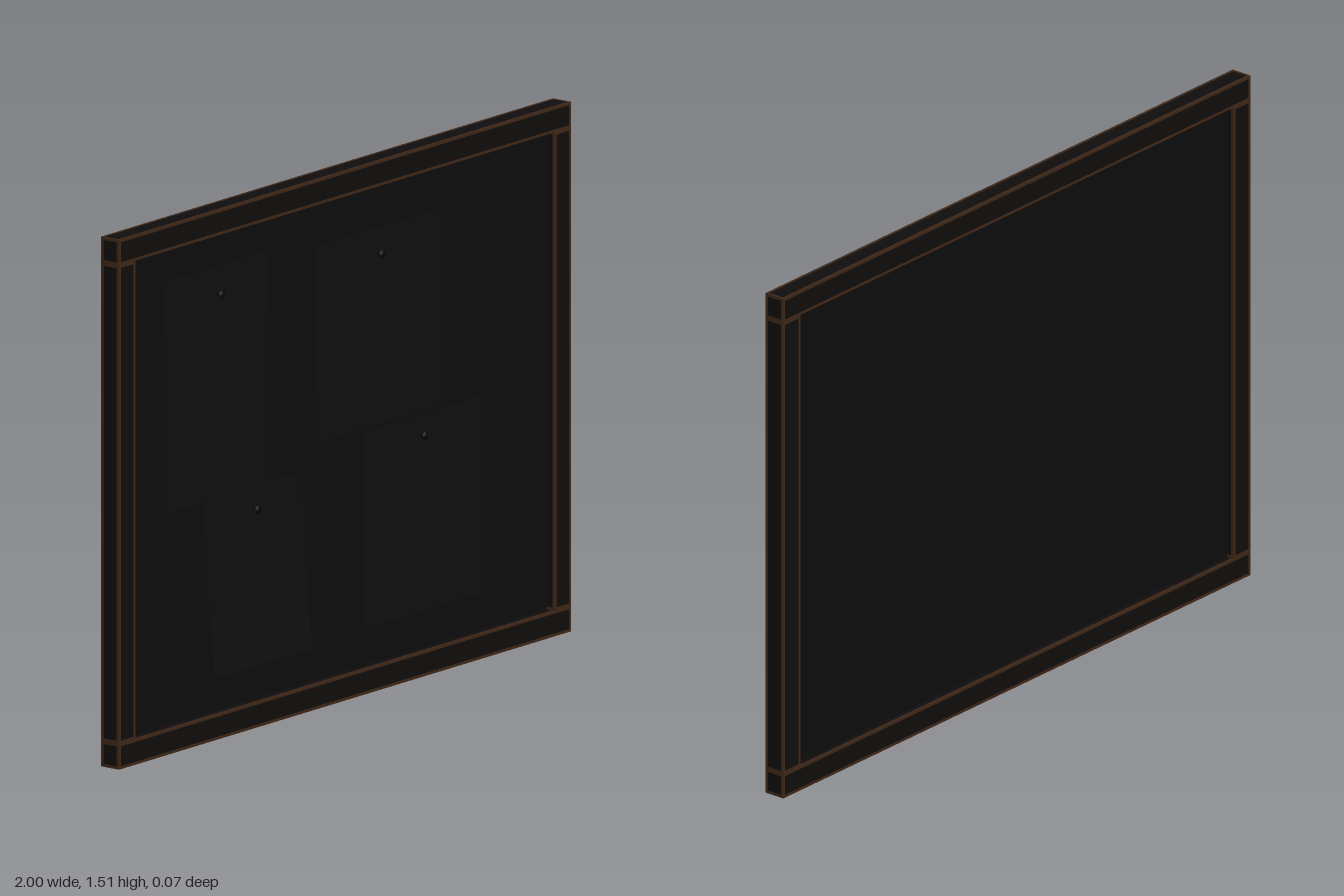
import * as THREE from 'three';

const W = 2, H = 1.51, BAR = 0.073, BACK = -0.036, FRONT = 0.028;
const DEPTH = FRONT - BACK, MID = (FRONT + BACK) / 2;
const BOARD_FRONT = 0;

const paint = (color, extra = {}) => new THREE.MeshStandardMaterial({ color, ...extra });

function box(name, w, h, d, x, y, z, material) {
  const mesh = new THREE.Mesh(new THREE.BoxGeometry(w, h, d), material);
  mesh.name = name;
  mesh.position.set(x, y, z);
  return mesh;
}

// Square frame bar along x, with worn brown strips on its long edges and ends
function frameBar(name, length, darkWood, wornWood) {
  const bar = new THREE.Group();
  bar.name = name;
  const s = 0.008, inset = 0.001;
  bar.add(box('barCore', length - inset, BAR - inset, DEPTH - inset, 0, 0, 0, darkWood));
  for (const a of [-1, 1]) for (const b of [-1, 1]) {
    bar.add(box('wornEdge', length, s, s, 0, a * (BAR - s) / 2, b * (DEPTH - s) / 2, wornWood));
    bar.add(box('wornEnd', s, s, DEPTH, a * (length - s) / 2, b * (BAR - s) / 2, 0, wornWood));
    bar.add(box('wornEnd', s, BAR, s, a * (length - s) / 2, 0, b * (DEPTH - s) / 2, wornWood));
  }
  return bar;
}

// Sheet hanging from its top edge, its lower end curling forward
function sheet(name, x, top, w, h, curl, tilt, material) {
  const geometry = new THREE.PlaneGeometry(w, h, 1, 10);
  const pos = geometry.attributes.position;
  for (let i = 0; i < pos.count; i++) {
    const t = 0.5 - pos.getY(i) / h;
    pos.setZ(i, curl * t * t);
  }
  geometry.computeVertexNormals();
  const mesh = new THREE.Mesh(geometry, material);
  mesh.name = name;
  mesh.position.set(x, top - h / 2, BOARD_FRONT + 0.003);
  mesh.rotation.z = tilt;
  return mesh;
}

function pushPin(x, y, material) {
  const profile = [[0, 0], [0.006, 0], [0.006, 0.009], [0.012, 0.011], [0.012, 0.016], [0, 0.018]];
  const mesh = new THREE.Mesh(
    new THREE.LatheGeometry(profile.map(([r, h]) => new THREE.Vector2(r, h)), 12), material);
  mesh.name = 'pushPin';
  mesh.rotation.x = Math.PI / 2;
  mesh.position.set(x, y, BOARD_FRONT + 0.002);
  return mesh;
}

export function createModel() {
  const model = new THREE.Group();
  model.name = 'noticeBoard';
  const darkWood = paint(0x0f0d0c), wornWood = paint(0x3d2617);
  const boardMat = paint(0x0c0c0c), pinMat = paint(0x060606);
  const paperMat = paint(0x0e0e0e, { side: THREE.DoubleSide });

  // Frame: full-width rails with the stiles between them
  const frame = new THREE.Group();
  frame.name = 'frame';
  for (const side of [-1, 1]) {
    const rail = frameBar(side > 0 ? 'topRail' : 'bottomRail', W, darkWood, wornWood);
    rail.position.set(0, H / 2 + side * (H - BAR) / 2, MID);
    const stile = frameBar(side > 0 ? 'leftStile' : 'rightStile', H - 2 * BAR, darkWood, wornWood);
    stile.rotation.z = Math.PI / 2;
    stile.position.set(side * (W - BAR) / 2, H / 2, MID);
    frame.add(rail, stile);
  }
  model.add(frame);

  // Thin board recessed on both sides
  model.add(box('board', W - 2 * BAR + 0.02, H - 2 * BAR + 0.02, 0.012,
    0, H / 2, BOARD_FRONT - 0.006, boardMat));

  // Pinned sheets: x, top, width, height, curl, tilt, pin height
  const notes = [
    [-0.53, 1.34, 0.46, 0.66, 0.004, 0, 1.26],
    [0.18, 1.31, 0.54, 0.56, 0.004, 0, 1.235],
    [-0.37, 0.68, 0.43, 0.5, 0.033, 0, 0.615],
    [0.37, 0.74, 0.52, 0.56, 0.004, 0, 0.68],
  ];
  for (const [x, top, w, h, curl, tilt, pinY] of notes) {
    model.add(sheet('pinnedSheet', x, top, w, h, curl, tilt, paperMat));
    model.add(pushPin(x, pinY, pinMat));
  }
  return model;
}
